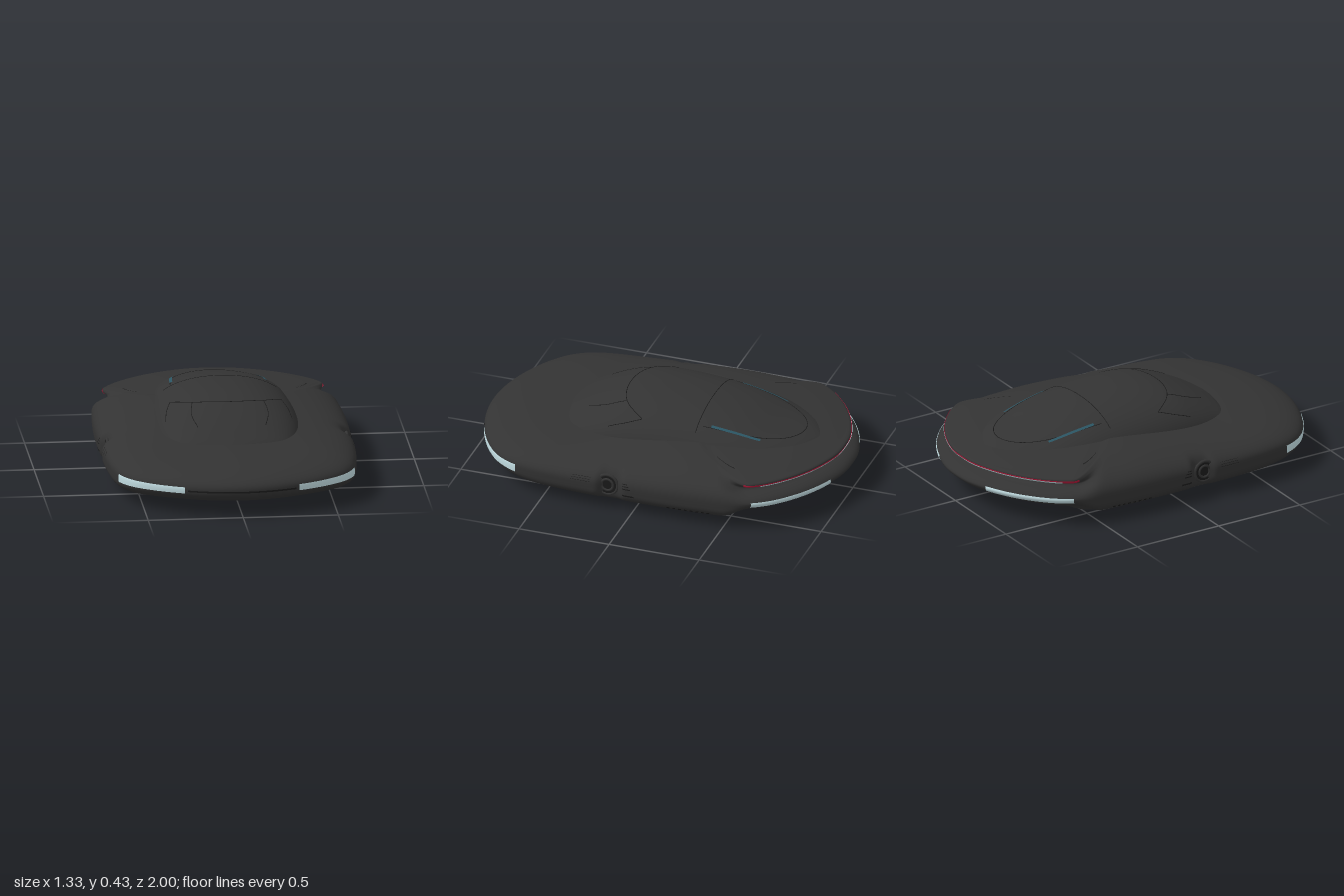
import * as THREE from 'three';
import { mergeVertices } from 'three/addons/utils/BufferGeometryUtils.js';

const mat = (name, color, side = THREE.FrontSide) =>
  Object.assign(new THREE.MeshStandardMaterial({ color, side }), { name });

// Plan outline of one flank, nose to tail: x, z
const FLANK = [
  [0, 1], [.15, .985], [.3, .94], [.44, .87], [.55, .78], [.61, .68], [.64, .55], [.655, .4],
  [.662, .25], [.664, .15], [.664, .07], [.664, 0], [.664, -.2], [.655, -.4], [.635, -.58],
  [.57, -.71], [.45, -.83], [.3, -.925], [.12, -.99], [0, -1],
];
const N = 38;
const outline = new THREE.CatmullRomCurve3(
  [...FLANK, ...FLANK.slice(1, -1).reverse().map(([x, z]) => [-x, z])]
    .map(([x, z]) => new THREE.Vector3(x, 0, z)), true);

// Tail profile, bottom to top, with an overhanging lip: scale of the outline, y
const TAIL = [
  [0, .005], [.5, .006], [.72, .02], [.82, .05], [.9, .085], [.97, .118], [1, .15],
  [.985, .172], [.95, .188], [.905, .198], [.895, .212], [.925, .226], [.955, .238],
  [.953, .25], [.92, .258], [.82, .275], [.65, .295], [.4, .31], [0, .315],
];
const tail = new THREE.CatmullRomCurve3(TAIL.map(([s, y]) => new THREE.Vector3(s, y, 0)));

// Canopy stations, front to back: half width, top, z
const canopyLine = new THREE.CatmullRomCurve3([
  [.02, .25, .56], [.29, .285, .5], [.345, .34, .4], [.372, .385, .3], [.385, .418, .2],
  [.39, .434, .05], [.38, .422, -.2], [.365, .39, -.4], [.32, .337, -.6], [.22, .298, -.75],
  [.03, .262, -.85],
].map(p => new THREE.Vector3(...p)));

const { smoothstep, lerp, clamp } = THREE.MathUtils;
const pow = (b, e) => Math.pow(Math.max(b, 0), e);

// Hull surface: u runs 0..38 around the outline, v runs 0..18 from belly to deck
function hull(u, v) {
  const p = outline.getPoint((((u % N) + N) % N) / N);
  const a = THREE.MathUtils.degToRad(v < 6 ? (v - 6) * 15 : (v - 6) * 7.5);
  const n = v < 6 ? 3.5 - smoothstep(p.z, .5, .95) : 2.5;
  const s0 = pow(Math.cos(a), 2 / n), f = pow(Math.abs(Math.sin(a)), 2 / n);
  const deck = lerp(.275, .325, smoothstep(-s0 * p.z, -.45, .3));
  const y0 = v < 6 ? .14 - .135 * f : .14 + (deck - .14) * f;
  const t = tail.getPoint(clamp(v / 18, 0, 1));
  const k = smoothstep(-p.z, .5, .66);
  const s = lerp(s0, t.x, k), y = lerp(y0, t.y, k), z = p.z * s;
  // side intake hollow
  const dent = .055 * Math.exp(-(((z - .12) / .06) ** 4)) * Math.exp(-(((y - .14) / .085) ** 4));
  return new THREE.Vector3(p.x * s * (1 - dent), y, z);
}

// Canopy surface: u runs 0..1 across, v runs 0..1 from front to back
function canopy(u, v) {
  const { x: w, y: top, z } = canopyLine.getPoint(clamp(v, 0, 1));
  const c = -Math.cos(Math.PI * u), e = 2 / 2.2;
  return new THREE.Vector3(w * Math.sign(c) * pow(Math.abs(c), e),
    .2 + (top - .2) * pow(Math.sin(Math.PI * u), e), z);
}

function raised(fn, u, v, off) {
  const p = fn(u, v);
  if (!off) return p;
  const h = .01;
  const du = fn(u + h, v).sub(fn(u - h, v)), dv = fn(u, v + h).sub(fn(u, v - h));
  return p.addScaledVector(du.cross(dv).normalize(), off);
}

// Smooth patch of a surface, optionally lifted off it
function patch(fn, u0, u1, v0, v1, nu, nv, off = 0) {
  const pos = [], idx = [];
  for (let j = 0; j <= nv; j++)
    for (let i = 0; i <= nu; i++)
      pos.push(...raised(fn, lerp(u0, u1, i / nu), lerp(v0, v1, j / nv), off).toArray());
  for (let j = 0; j < nv; j++)
    for (let i = 0; i < nu; i++) {
      const a = j * (nu + 1) + i, b = a + nu + 1;
      idx.push(a, a + 1, b + 1, a, b + 1, b);
    }
  let g = new THREE.BufferGeometry();
  g.setAttribute('position', new THREE.Float32BufferAttribute(pos, 3));
  g.setIndex(idx);
  g = mergeVertices(g, 1e-5);
  g.computeVertexNormals();
  return g;
}

export function createModel() {
  const car = new THREE.Group();
  car.name = 'hoverCar';
  const paint = mat('charcoal paint', 0x333333);
  const dark = mat('black trim', 0x1b1b1b, THREE.DoubleSide);
  const pale = mat('pale light', 0xc4dfe4, THREE.DoubleSide);
  const teal = mat('teal glow', 0x2c5664, THREE.DoubleSide);
  const red = mat('red light', 0xb01838, THREE.DoubleSide);

  const add = (name, geo, material, parent = car) => {
    const m = new THREE.Mesh(geo, material);
    m.name = name;
    parent.add(m);
    return m;
  };
  // Plate on the hull, repeated on the other flank
  const pair = (name, u0, u1, v0, v1, material, nu = 24, off = .003) => {
    add(name + 'Left', patch(hull, u0, u1, v0, v1, nu, 4, off), material);
    add(name + 'Right', patch(hull, N - u1, N - u0, v0, v1, nu, 4, off), material);
  };
  // Thin panel line on the canopy
  const seam = (name, pts) => {
    const c = new THREE.CatmullRomCurve3(pts.map(([u, v]) => new THREE.Vector3(u, v, 0)));
    const path = new THREE.CatmullRomCurve3(c.getPoints(40).map(p => canopy(p.x, p.y)));
    add(name, new THREE.TubeGeometry(path, 60, .002, 5), dark);
  };

  add('body', patch(hull, 0, N, 0, 18, 304, 72), paint);
  add('canopy', patch(canopy, 0, 1, 0, 1, 48, 60), paint);

  // Canopy panel lines
  seam('windshieldTop', [[.24, .49], [.35, .41], [.5, .37], [.65, .41], [.76, .49]]);
  seam('roofSeam', [[.22, .615], [.5, .615], [.78, .615]]);
  seam('rearWindowEdge', [[.27, .63], [.29, .75], [.36, .85], [.5, .89], [.64, .85], [.71, .75], [.73, .63]]);
  for (const m of [u => u, u => 1 - u]) {
    seam('pillar', [[m(.24), .49], [m(.2), .43], [m(.17), .36]]);
    seam('windshieldSide', [[m(.35), .41], [m(.33), .3], [m(.34), .2]]);
  }

  // Rear quarter glow slits
  for (const [a, b] of [[.71, .727], [.273, .29]])
    add('canopySlit', patch(canopy, a, b, .65, .78, 3, 16, .003), teal);

  // Lights
  pair('headlight', 2, 5.2, 5.75, 6.55, pale);
  pair('rearLowerLight', 14.5, 17.4, 5.45, 6.4, pale);
  add('tailLight', patch(hull, 14.4, N - 14.4, 11.3, 12.5, 90, 4, .003), red);
  add('tailLightCore', patch(hull, 15, N - 15, 11.7, 12.2, 90, 3, .005), pale);
  add('noseSeam', patch(hull, -1.9, 1.9, 5.9, 6.02, 40, 1, .001), dark);

  // Side louvres, lower flank vents and deck slots
  for (let i = 0; i < 4; i++) {
    pair('louvre', 10.35, 11.1 - i * .12, 5.6 + i * .45, 5.75 + i * .45, dark, 6, .002);
    if (i < 3) pair('frontLouvre', 7.4, 8.2, 6.4 + i * .5, 6.47 + i * .5, dark, 6, .001);
  }
  for (let i = 0; i < 8; i++)
    pair('flankVent', 12 + i * .16, 12.08 + i * .16, 4.75, 5.1, dark, 2, .002);
  pair('deckSlot', 14.1, 14.5, 15.1, 15.2, dark, 8, .001);

  // Side intakes
  for (const s of [1, -1]) {
    const intake = new THREE.Group();
    intake.name = s > 0 ? 'intakeLeft' : 'intakeRight';
    intake.position.set(s * .63, .14, .14);
    intake.rotation.y = s * Math.PI / 2;
    add('intakeDisc', new THREE.CircleGeometry(.054, 32).translate(0, 0, .005), dark, intake);
    add('intakeRing', new THREE.TorusGeometry(.056, .008, 8, 36), paint, intake);
    add('intakeHub', new THREE.TorusGeometry(.032, .007, 8, 28).translate(0, 0, .004), paint, intake);
    car.add(intake);
  }

  // Hover pads under the belly
  for (const x of [-.345, .345])
    for (const z of [-.38, .38]) {
      const pad = new THREE.Group();
      pad.name = 'hoverPad';
      pad.position.set(x, 0, z);
      add('padRim', new THREE.CylinderGeometry(.19, .16, .035, 40).translate(0, .0225, 0), paint, pad);
      add('padGlow', new THREE.CylinderGeometry(.12, .12, .01, 40).translate(0, .007, 0), teal, pad);
      const ring = (r, t, m) => add('padRing', new THREE.TorusGeometry(r, t, 6, 36)
        .rotateX(Math.PI / 2).translate(0, .004, 0), m, pad);
      ring(.036, .004, teal);
      ring(.124, .004, dark);
      car.add(pad);
    }
  return car;
}
